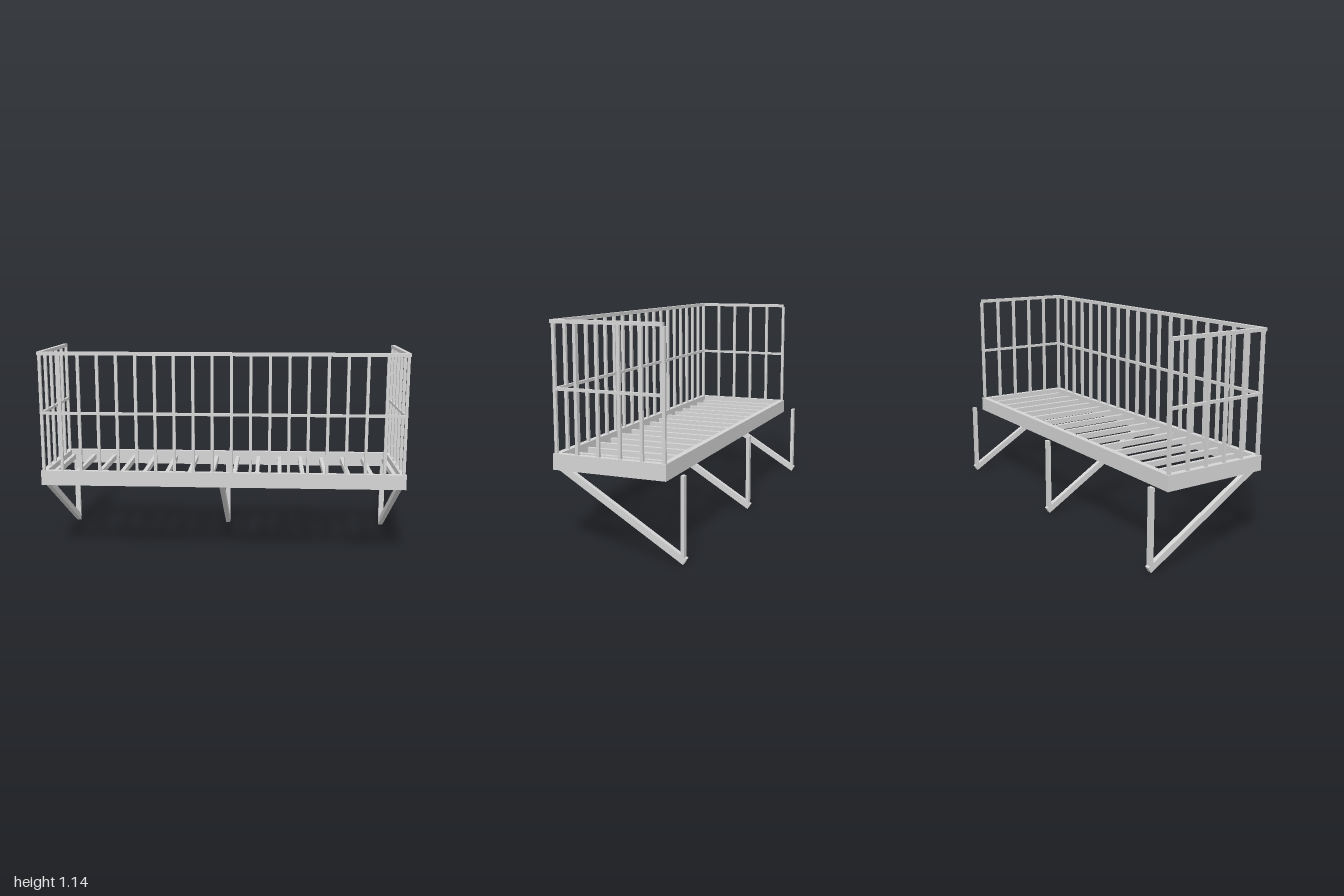
import * as THREE from 'three';

export function createModel() {
  const model = new THREE.Group();
  model.name = 'balcony';
  const steel = new THREE.MeshStandardMaterial({ color: 0xd4d4d4 });
  steel.name = 'grey steel';

  // Box given by its lower and upper limits on each axis
  function bar(name, x0, x1, y0, y1, z0, z1, parent) {
    const mesh = new THREE.Mesh(new THREE.BoxGeometry(x1 - x0, y1 - y0, z1 - z0), steel);
    mesh.position.set((x0 + x1) / 2, (y0 + y1) / 2, (z0 + z1) / 2);
    mesh.name = name;
    parent.add(mesh);
  }
  function group(name) {
    const g = new THREE.Group();
    g.name = name;
    model.add(g);
    return g;
  }

  const BOTTOM = 0.403, DECK = 0.485, RAIL = 1.121, TOP = 1.14;
  const BACK = -0.257, FRONT = 0.35, WALL = 0.031;
  const half = 0.008;

  // Floor frame
  const frame = group('floorFrame');
  bar('frontBeam', -1, 1, BOTTOM, DECK, FRONT - WALL, FRONT, frame);
  bar('backBeam', -1, 1, BOTTOM, DECK, BACK, BACK + WALL, frame);
  for (const s of [-1, 1]) {
    const x = s * (1 - WALL / 2);
    bar('endBeam', x - WALL / 2, x + WALL / 2, BOTTOM, DECK, BACK + WALL, FRONT - WALL, frame);
  }

  // Floor slats
  const slats = group('floorSlats');
  for (let i = 0; i < 16; i++) {
    const x = -0.955 + (i * 1.91) / 15;
    bar('slat', x - 0.011, x + 0.011, 0.427, 0.457, BACK + WALL, FRONT - WALL, slats);
  }

  // Front railing
  const front = group('frontRailing');
  const zPost = 0.335, xPost = 0.986;
  for (let i = 0; i < 20; i++) {
    const x = -xPost + (i * 2 * xPost) / 19;
    bar('frontBaluster', x - half, x + half, DECK, RAIL, zPost - half, zPost + half, front);
  }
  bar('frontTopRail', -0.998, 0.998, RAIL, TOP, zPost - 0.011, FRONT - 0.002, front);
  bar('frontMidRail', -xPost, xPost, 0.797, 0.812, zPost - half, zPost + half, front);

  // Side railings
  for (const s of [-1, 1]) {
    const side = group(s > 0 ? 'leftRailing' : 'rightRailing');
    const x = s * xPost;
    for (let i = 1; i < 6; i++) {
      const z = zPost - i * 0.1157;
      bar('sideBaluster', x - half, x + half, DECK, RAIL, z - half, z + half, side);
    }
    bar('sideTopRail', x - 0.011, x + 0.011, RAIL, TOP, -0.243, zPost - 0.011, side);
    bar('sideMidRail', x - half, x + half, 0.797, 0.812, -0.24, zPost - half, side);
  }

  // Wall posts with sloping braces
  const low = new THREE.Vector3(0, 0.0155, -0.34);
  const high = new THREE.Vector3(0, 0.414, 0.322);
  for (const x of [-0.965, 0, 0.965]) {
    const support = group('support');
    bar('wallPost', x - 0.015, x + 0.015, 0.025, 0.432, -0.339, -0.32, support);
    const brace = new THREE.Mesh(new THREE.BoxGeometry(0.026, 0.035, low.distanceTo(high)), steel);
    brace.name = 'brace';
    brace.position.addVectors(low, high).multiplyScalar(0.5).setX(x);
    brace.rotation.x = -Math.atan2(high.y - low.y, high.z - low.z);
    support.add(brace);
  }
  return model;
}
